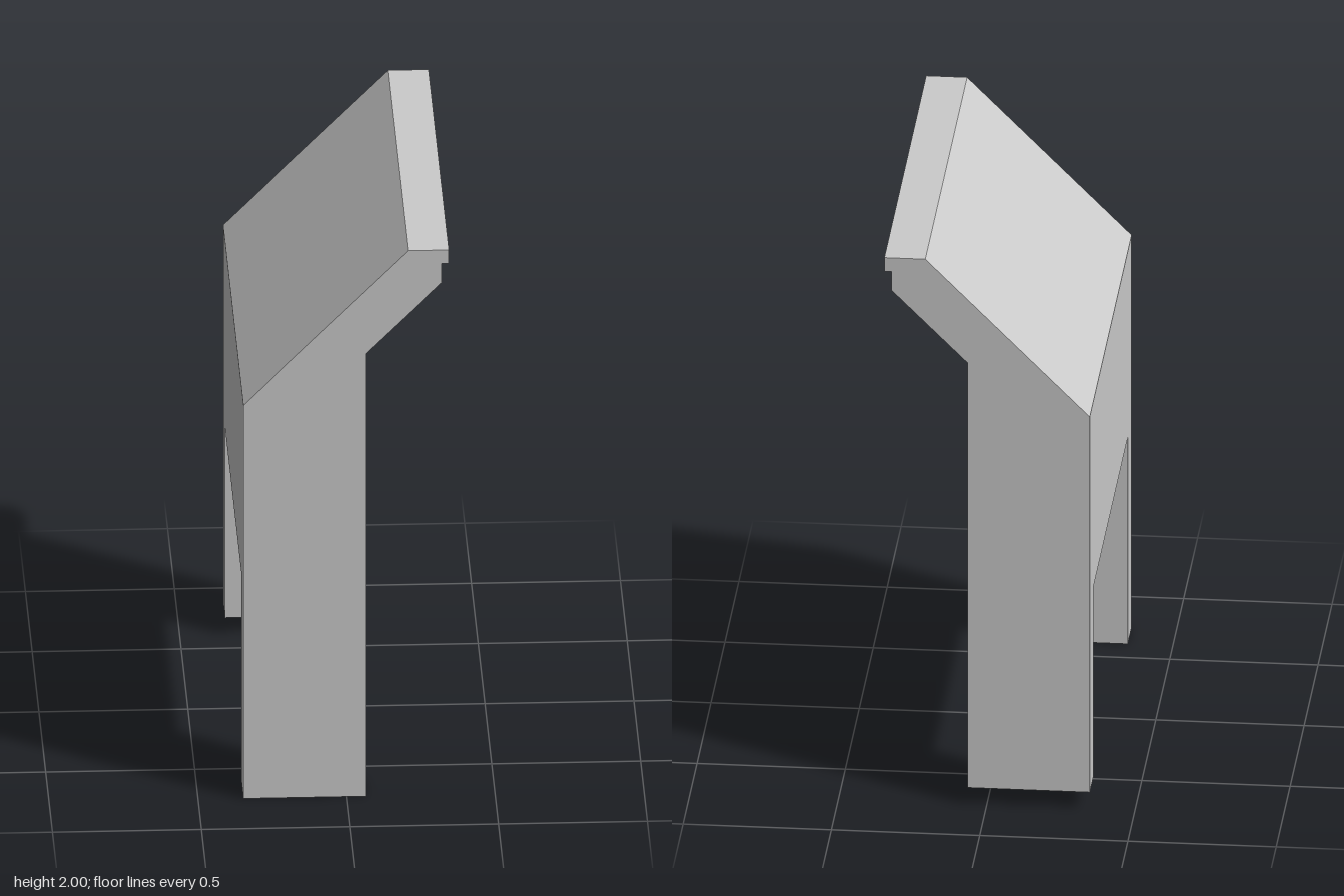
import * as THREE from 'three';

// Extrudes an x-y profile along z between z0 and z1
function slab(name, points, z0, z1, material) {
  const shape = new THREE.Shape(points.map(([x, y]) => new THREE.Vector2(x, y)));
  const geometry = new THREE.ExtrudeGeometry(shape, { depth: z1 - z0, bevelEnabled: false });
  geometry.translate(0, 0, z0);
  const mesh = new THREE.Mesh(geometry, material);
  mesh.name = name;
  return mesh;
}

export function createModel() {
  const group = new THREE.Group();
  group.name = 'slopedWallSection';
  const material = new THREE.MeshStandardMaterial({ color: 0xcccccc, flatShading: true });

  const back = -0.348, face = 0.065;
  const halfLength = 0.75, opening = 0.612;
  const soffitBack = 0.76, soffitFace = 0.885;

  // Upper wall with sloping soffit, leaning top and stepped lip
  group.add(slab('upperWall', [
    [back, soffitBack], [face, soffitFace], [face, 1.625],
    [0.32, 1.88], [0.32, 1.95], [0.345, 1.95], [0.345, 2],
    [0.207, 2], [back, 1.443],
  ], -halfLength, halfLength, material));

  // Legs at both ends; the rear one stops a little short of the floor
  const leg = (name, bottom, z0, z1) => slab(name, [
    [back, bottom], [face, bottom], [face, soffitFace], [back, soffitBack],
  ], z0, z1, material);
  group.add(leg('frontLeg', 0, opening, halfLength));
  group.add(leg('rearLeg', 0.062, -halfLength, -opening));

  return group;
}
